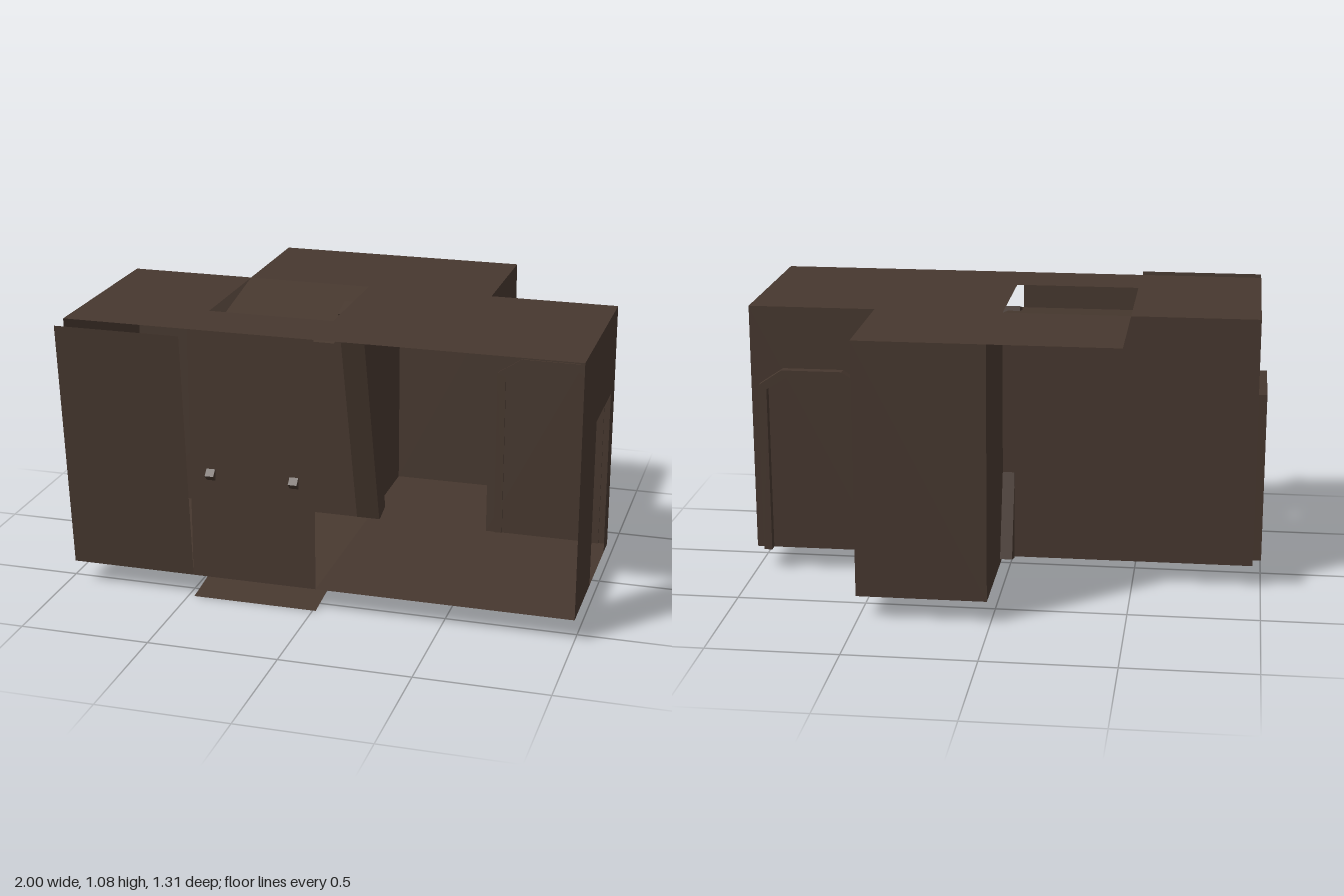
import * as THREE from 'three';

export function createModel() {
  const group = new THREE.Group();
  const brown = new THREE.MeshStandardMaterial({ color: 0x47382f, side: THREE.DoubleSide });
  brown.name = 'darkBrown';

  // grid lines of the room
  const X = [-0.967, -0.477, 0.012, 0.507, 1.0];
  const back = -0.165, front = 0.57, alcove = -0.657;
  const low = 0.09, high = 1.075;

  const add = (name, geometry, x = 0, y = 0, z = 0) => {
    const mesh = new THREE.Mesh(geometry, brown);
    mesh.name = name;
    mesh.position.set(x, y, z);
    group.add(mesh);
    return mesh;
  };
  const outline = (pts, hole) => {
    const shape = new THREE.Shape(pts.map(p => new THREE.Vector2(...p)));
    if (hole) shape.holes.push(new THREE.Path(hole.map(p => new THREE.Vector2(...p))));
    return shape;
  };
  const rect = (a, b, c, d) => [[a, c], [b, c], [b, d], [a, d]];
  const sheet = (pts, hole) => new THREE.ShapeGeometry(outline(pts, hole));

  // flat sheets: level ones drawn in x,z and side ones in z,y
  const level = (name, y, pts, hole) => add(name, sheet(pts, hole).rotateX(Math.PI / 2), 0, y, 0);
  const facing = (name, z, x0, x1) => add(name, sheet(rect(x0, x1, low, high)), 0, 0, z);
  const side = (name, x, pts) => add(name, sheet(pts).rotateY(-Math.PI / 2), x, 0, 0);

  // roof with an opening, and floor with a gap for the sunken slab
  level('roof', high, [
    [X[0], front], [X[4], front], [X[4], back], [X[3], back],
    [X[3], alcove], [X[1], alcove], [X[1], back], [X[0], back],
  ], rect(X[1], X[2], back + 0.002, 0.325));
  level('leftFloor', low, rect(X[0], X[1], back, front));
  level('rightFloor', low, [
    [X[2], front], [X[4], front], [X[4], back], [X[3], back], [X[3], alcove], [X[2], alcove],
  ]);

  // tilted slabs hinged on their back edge
  const slab = (name, y, length, drop) => {
    const g = sheet(rect(X[1], X[2], 0, length)).rotateX(Math.PI / 2);
    add(name, g, 0, y, back).rotation.x = Math.asin(drop / length);
  };
  slab('tiltedRoofSlab', high, 0.49, 0.09);
  slab('sunkenFloorSlab', low, 0.74, 0.09);

  // walls facing front and back
  facing('backWallLeft', back, X[0], X[2]);
  facing('backWallRight', back, X[3], X[4]);
  facing('alcoveBackWall', alcove, X[2], X[3]);
  facing('frontWall', front, X[1], X[2]);
  const lean = add('leaningFrontWall', sheet(rect(X[0], X[1], 0, high - low)), 0, low, front);
  lean.rotation.x = Math.asin(0.085 / (high - low));

  // side walls, the outer two with doorways
  for (const x of [X[2], X[3]]) side('alcoveSideWall', x, rect(alcove, back, low, high));
  for (const x of [X[0], X[4]]) {
    side('doorwayWall', x, [
      [back, low], [-0.08, low], [-0.08, 0.75], [0.25, 0.75],
      [0.25, low], [front, low], [front, high], [back, high],
    ]);
  }

  // square frame round one doorway
  const frame = (pts, depth) =>
    new THREE.ExtrudeGeometry(outline(pts), { depth, bevelEnabled: false });
  add('squareDoorFrame', frame([
    [-0.1, low], [-0.066, low], [-0.066, 0.735], [0.23, 0.735],
    [0.23, low], [0.26, low], [0.26, 0.765], [-0.1, 0.765],
  ], 0.04).rotateY(-Math.PI / 2), -0.96);

  // angular arch on the back wall
  add('archedDoorFrame', frame([
    [0.54, low], [0.573, low], [0.573, 0.752], [0.65, 0.8], [0.857, 0.8], [0.933, 0.752],
    [0.933, low], [0.965, low], [0.965, 0.768], [0.872, 0.83], [0.635, 0.83], [0.54, 0.768],
  ], 0.04), 0, 0, -0.2);

  // leaning post
  const post = add('leaningPost', new THREE.BoxGeometry(0.095, 0.987, 0.095), 0.0125, 0.573, -0.078);
  post.rotation.x = Math.atan(0.28);

  // small diamond-section knobs
  for (const x of [-0.395, -0.068]) {
    const knob = add('knob', new THREE.BoxGeometry(0.034, 0.032, 0.032), x, 0.512, front + 0.003);
    knob.rotation.x = Math.PI / 4;
  }
  return group;
}
